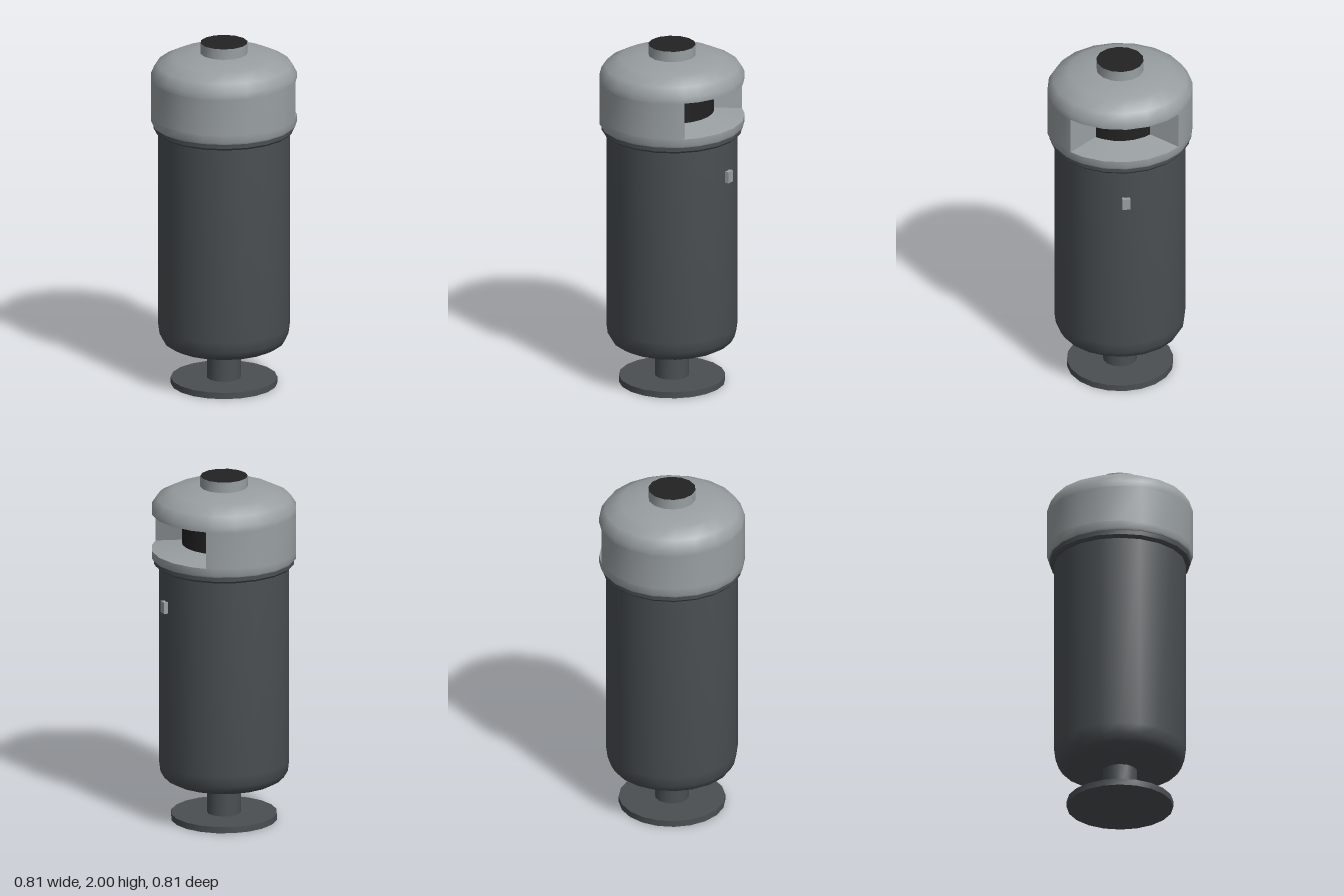
import * as THREE from 'three';
import { toCreasedNormals } from 'three/addons/utils/BufferGeometryUtils.js';

const material = (name, color, side = THREE.FrontSide) => {
  const m = new THREE.MeshStandardMaterial({ color, side });
  m.name = name;
  return m;
};

// Angles in degrees, 0 at the back (-z), 90 at +x
const ring = (n) => Array.from({ length: n + 1 }, (_, i) => (i * 360) / n);
const point = (r, y, deg) => {
  const a = THREE.MathUtils.degToRad(deg);
  return [r * Math.sin(a), y, -r * Math.cos(a)];
};

// Sweep a profile of [radius, height, angle scale] around the y axis;
// a profile that climbs faces outward
function sweep(profile, angles) {
  const pos = [], index = [], n = angles.length;
  for (const [r, y, k = 1] of profile) for (const a of angles) pos.push(...point(r, y, a * k));
  for (let j = 0; j < profile.length - 1; j++) {
    for (let i = 0; i < n - 1; i++) {
      const p = j * n + i, q = p + n;
      if (profile[j][0] > 0) index.push(p + 1, p, q);
      if (profile[j + 1][0] > 0) index.push(p + 1, q, q + 1);
    }
  }
  const g = new THREE.BufferGeometry();
  g.setAttribute('position', new THREE.Float32BufferAttribute(pos, 3));
  g.setIndex(index);
  return toCreasedNormals(g, 0.65);
}

export function createModel() {
  const model = new THREE.Group();
  model.name = 'litterBin';
  const dark = material('darkGrey', 0x4a4f52);
  const light = material('lightGrey', 0x999fa1, THREE.DoubleSide);
  const black = material('black', 0x222222);

  const add = (name, geometry, mat, parent = model) => {
    const mesh = new THREE.Mesh(geometry, mat);
    mesh.name = name;
    parent.add(mesh);
    return mesh;
  };

  // Foot plate and post
  add('basePlate', sweep([[0, 0], [0.298, 0], [0.298, 0.036], [0, 0.036]], ring(20)), dark);
  add('post', sweep([[0.096, 0.03], [0.096, 0.24]], ring(14)), dark);

  // Container with rounded bottom, and the collar under the hood
  add('body', sweep([
    [0, 0.22], [0.17, 0.221], [0.3, 0.23], [0.338, 0.252], [0.36, 0.29], [0.368, 0.35], [0.368, 1.5],
  ], ring(20)), dark);
  add('collar', sweep([
    [0.36, 1.488], [0.385, 1.488], [0.395, 1.5], [0.395, 1.53],
  ], ring(20)), dark);

  // Hood: full rings below and above the opening, an open band between
  const hood = new THREE.Group();
  hood.name = 'hood';
  model.add(hood);
  const R = 0.407, half = 48, low = 1.577, high = 1.79;
  const around = [...ring(20), half, 360 - half].sort((a, b) => a - b);
  add('hoodRim', sweep([[0.37, 1.526], [0.402, 1.526], [R, 1.536], [R, low]], around), light, hood);
  add('hoodBand', sweep([[R, low], [R, high]], around.filter((a) => a >= half && a <= 360 - half)), light, hood);
  add('hoodDome', sweep([
    [R, high], [R, 1.825], [0.375, 1.875], [0.29, 1.918], [0.17, 1.938], [0, 1.942],
  ], around), light, hood);

  // Tapered opening at the back
  const r = 0.236, k = 0.84, inLow = 1.61, inHigh = 1.755;
  const span = [-half, -36, -18, 0, 18, 36, half];
  add('openingFloor', sweep([[R, low], [r, inLow, k]], span), light, hood);
  add('openingCeiling', sweep([[r, inHigh, k], [R, high]], span), light, hood);
  add('openingBack', sweep([[r, inLow, k], [r, inHigh, k]], span), black, hood);
  for (const s of [-1, 1]) {
    const corners = [point(R, low, s * half), point(r, inLow, s * half * k),
      point(r, inHigh, s * half * k), point(R, high, s * half)];
    const g = new THREE.BufferGeometry();
    g.setAttribute('position', new THREE.Float32BufferAttribute(corners.flat(), 3));
    g.setIndex(s > 0 ? [0, 2, 1, 0, 3, 2] : [0, 1, 2, 0, 2, 3]);
    g.computeVertexNormals();
    add(s > 0 ? 'openingLeftWall' : 'openingRightWall', g, light, hood);
  }

  // Cap on the dome with a black top
  add('capSide', sweep([[0.133, 1.925], [0.133, 2]], ring(14)), light);
  add('capTop', sweep([[0.133, 2], [0, 2]], ring(14)), black);

  // Small lock plate below the opening
  const lock = add('lock', new THREE.BoxGeometry(0.045, 0.066, 0.04), light);
  lock.position.set(0, 1.285, -0.369);

  return model;
}
